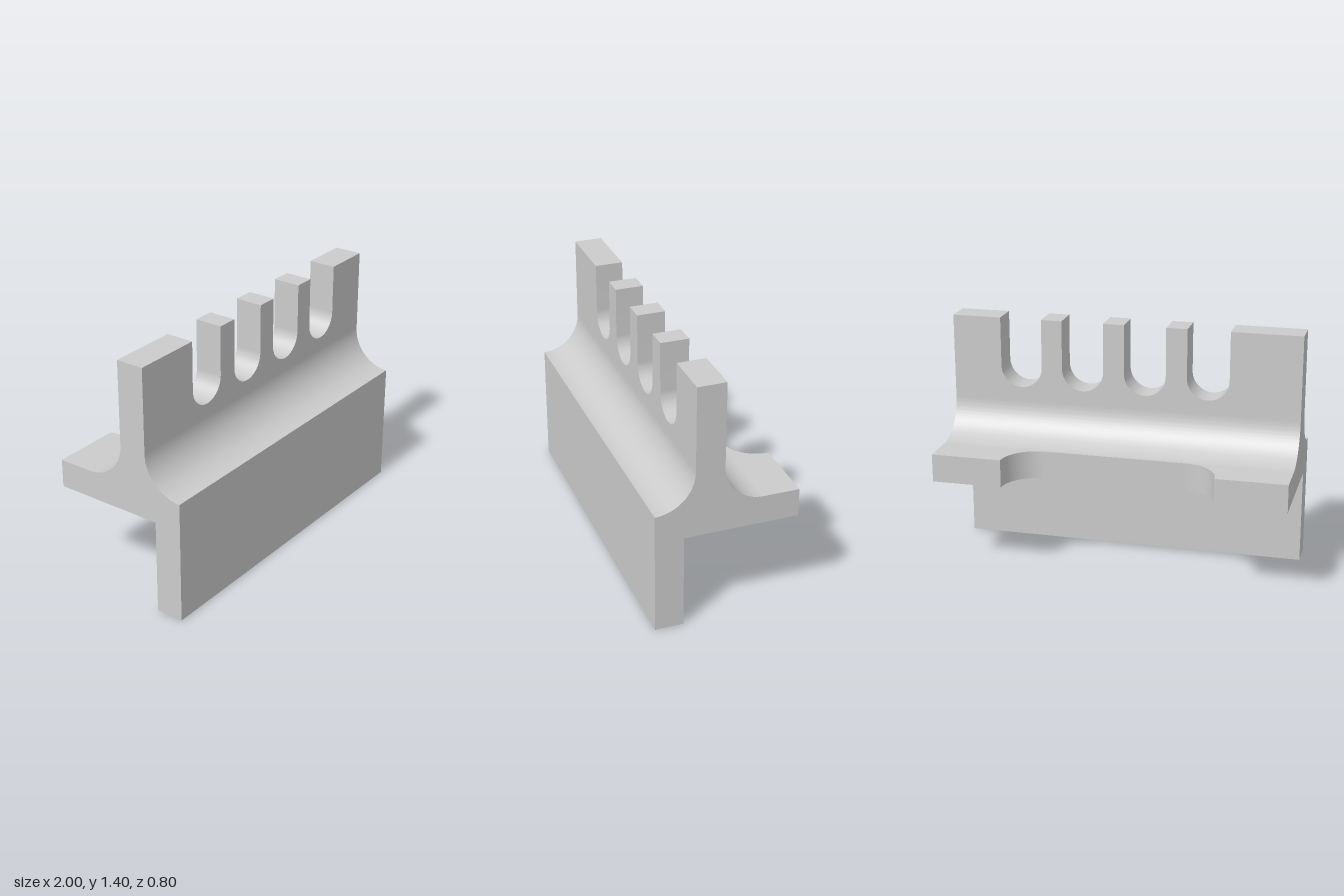
import * as THREE from 'three';
import { toCreasedNormals } from 'three/addons/utils/BufferGeometryUtils.js';

const material = new THREE.MeshStandardMaterial({ color: 0xcccccc });

const extrude = (shape, depth) =>
  new THREE.ExtrudeGeometry(shape, { depth, bevelEnabled: false, curveSegments: 24 });

function addPart(group, name, geometry) {
  const mesh = new THREE.Mesh(toCreasedNormals(geometry, 0.5), material);
  mesh.name = name;
  group.add(mesh);
}

export function createModel() {
  const group = new THREE.Group();
  group.name = 'slottedBracket';

  // Front leg, shelf and both fillets: one (z, y) section swept along x
  const section = new THREE.Shape();
  section.moveTo(0.4, 0);
  section.lineTo(0.4, 0.7);
  section.absarc(0.4, 0.92, 0.22, -Math.PI / 2, -Math.PI, true);
  section.lineTo(0.02, 0.92);
  section.absarc(-0.2, 0.92, 0.22, 0, -Math.PI / 2, true);
  section.lineTo(-0.2, 0.54);
  section.lineTo(0.24, 0.54);
  section.lineTo(0.24, 0);
  section.closePath();
  addPart(group, 'legAndShelf',
    extrude(section, 2).translate(0, 0, -1).rotateY(-Math.PI / 2));

  // Upright wall with round-bottomed slots open at the top
  const wall = new THREE.Shape();
  wall.moveTo(1, 0.92);
  wall.lineTo(1, 1.4);
  for (const x of [0.6, 0.24, -0.12, -0.48]) {
    wall.lineTo(x + 0.12, 1.4);
    wall.absarc(x, 1.12, 0.12, 0, -Math.PI, true);
    wall.lineTo(x - 0.12, 1.4);
  }
  wall.lineTo(-1, 1.4);
  wall.lineTo(-1, 0.92);
  wall.closePath();
  addPart(group, 'slottedWall', extrude(wall, 0.16).translate(0, 0, 0.02));

  // Rear flanges either side of the cut-out, drawn as (x, -z) and raised along y
  for (const s of [1, -1]) {
    const flange = new THREE.Shape();
    flange.moveTo(s, 0.2);
    flange.lineTo(s, 0.4);
    flange.lineTo(0.6 * s, 0.4);
    flange.absarc(0.4 * s, 0.4, 0.2, s > 0 ? 0 : Math.PI, s > 0 ? -Math.PI / 2 : Math.PI * 1.5, s > 0);
    flange.closePath();
    addPart(group, s > 0 ? 'leftRearFlange' : 'rightRearFlange',
      extrude(flange, 0.16).rotateX(-Math.PI / 2).translate(0, 0.54, 0));
  }

  return group;
}
